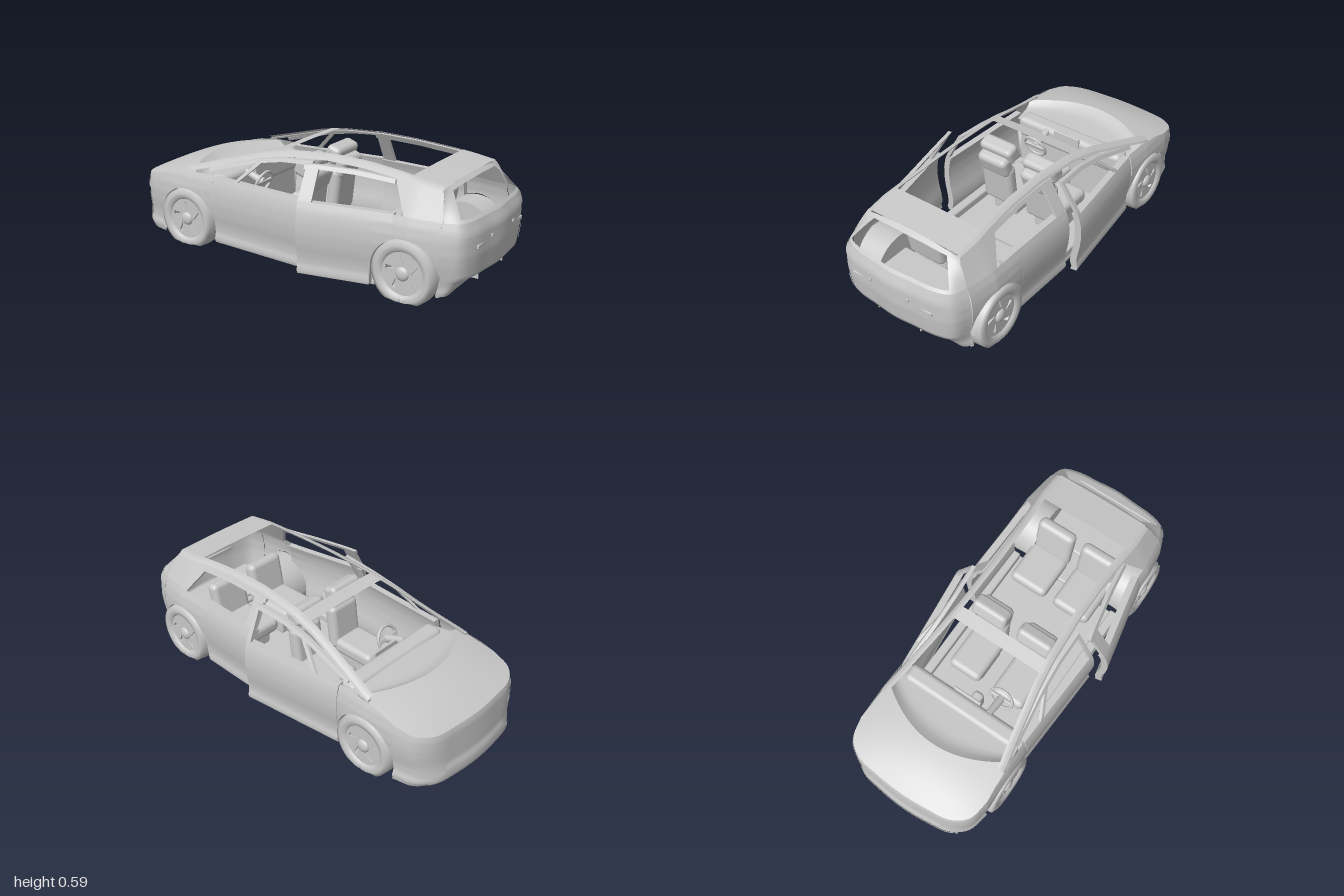
import * as THREE from 'three';
import { mergeGeometries } from 'three/addons/utils/BufferGeometryUtils.js';
import { RoundedBoxGeometry } from 'three/addons/geometries/RoundedBoxGeometry.js';

const lerp = THREE.MathUtils.lerp;
const paint = new THREE.MeshStandardMaterial({ color: 0xc8c8c8, side: THREE.DoubleSide });
paint.name = 'light grey';

// Piecewise curve y(x) through a few points
const curve = (pts) => (x) => {
  if (x <= pts[0][0]) return pts[0][1];
  for (let i = 1; i < pts.length; i++) {
    const [a, b] = [pts[i - 1], pts[i]];
    if (x <= b[0]) return lerp(a[1], b[1], (x - a[0]) / (b[0] - a[0]));
  }
  return pts[pts.length - 1][1];
};

// Surface from a rule fn(u, v) -> [x, y, z]
function grid(nu, nv, fn) {
  const pos = [], idx = [];
  for (let j = 0; j <= nv; j++) for (let i = 0; i <= nu; i++) pos.push(...fn(i / nu, j / nv));
  for (let j = 0; j < nv; j++) for (let i = 0; i < nu; i++) {
    const a = j * (nu + 1) + i, b = a + nu + 1;
    idx.push(a, a + 1, b, b, a + 1, b + 1);
  }
  const g = new THREE.BufferGeometry();
  g.setAttribute('position', new THREE.Float32BufferAttribute(pos, 3));
  g.setIndex(idx);
  g.computeVertexNormals();
  return g;
}

// Panel with thickness towards the car centre
function slab(nu, nv, fn, th) {
  const inner = (u, v) => { const p = fn(u, v); return [p[0], p[1], p[2] - Math.sign(p[2]) * th]; };
  const edge = (n, f) => grid(n, 1, (u, v) => (v ? inner : fn)(...f(u)));
  return mergeGeometries([grid(nu, nv, fn), grid(nu, nv, inner),
    edge(nu, (u) => [u, 0]), edge(nu, (u) => [u, 1]), edge(nv, (u) => [0, u]), edge(nv, (u) => [1, u])]);
}

function add(parent, name, geo, x = 0, y = 0, z = 0) {
  const m = new THREE.Mesh(geo, paint);
  m.name = name;
  m.position.set(x, y, z);
  parent.add(m);
  return m;
}
const box = (p, name, w, h, d, x, y, z, r = 0.01) => add(p, name, new RoundedBoxGeometry(w, h, d, 3, r), x, y, z);

// Main shape rules of the body
const FRONT = -0.615, REAR = 0.685, ARCH = 0.173;
const halfWidth = curve([[-0.8, 0.39], [-0.6, 0.395], [-0.44, 0.39], [0.14, 0.39], [0.5, 0.388], [0.7, 0.392], [0.88, 0.365]]);
const section = curve([[0.04, 0.95], [0.06, 0.972], [0.09, 0.945], [0.14, 0.955], [0.2, 0.985], [0.26, 1], [0.32, 0.995], [0.37, 0.97], [0.41, 0.93], [0.58, 0.68]]);
const sideZ = (x, y) => halfWidth(x) * section(y);
const hoodEdge = curve([[-1, 0.295], [-0.8, 0.357], [-0.7, 0.385], [-0.55, 0.402]]);
const rail = curve([[-0.62, 0.405], [-0.4, 0.47], [-0.2, 0.53], [-0.05, 0.56], [0.2, 0.58], [0.4, 0.577], [0.6, 0.562], [0.82, 0.535]]);
const arch = (x) => {
  const d = Math.min(Math.abs(x - FRONT), Math.abs(x - REAR));
  return d < ARCH ? 0.135 + Math.sqrt(ARCH * ARCH - d * d) : 0.045;
};
const plan = (pts) => new THREE.CatmullRomCurve3(
  [...pts.map(([x, z]) => new THREE.Vector3(x, 0, -z)), ...pts.slice(0, -1).reverse().map(([x, z]) => new THREE.Vector3(x, 0, z))]);
const nosePlan = plan([[-0.788, 0.39], [-0.9, 0.36], [-0.965, 0.28], [-0.99, 0.15], [-1, 0]]);
const tailPlan = plan([[0.86, 0.368], [0.94, 0.33], [0.975, 0.25], [0.99, 0.12], [1, 0]]);
const noseOff = curve([[0.03, 0.025], [0.05, 0], [0.1, 0], [0.13, 0.012], [0.3, 0.018], [0.34, 0.03]]);
const tailOff = curve([[0.05, -0.13], [0.125, -0.045], [0.14, -0.015], [0.25, 0], [0.36, 0], [0.41, -0.02]]);
const fade = (t) => Math.cos(Math.PI * (t - 0.5) * 0.9);
const nosePt = (t, y, out = 0) => {
  const p = nosePlan.getPoint(t);
  return [p.x + noseOff(y) * fade(t) - out, y, p.z * section(y) * (1 + out)];
};
const tailPt = (t, y, out = 0) => {
  const p = tailPlan.getPoint(t);
  return [p.x + tailOff(y) * fade(t) + out, y, p.z * section(y) * (1 + out)];
};
const crown = (t) => 0.03 * (1 - (2 * t - 1) ** 2);
const noseTop = (t) => hoodEdge(nosePlan.getPoint(t).x) + crown(t);
const hoodRear = (t) => { const k = 2 * t - 1; return [-0.56 - 0.14 * (1 - k * k), 0, k * 0.365]; };
const hoodPt = (t, v) => {
  const a = nosePt(t, noseTop(t)), b = hoodRear(t), x = lerp(a[0], b[0], v);
  return [x, lerp(noseTop(t), hoodEdge(b[0]) + crown(t), v) + 0.012 * Math.sin(v * Math.PI) * fade(t), lerp(a[2], b[2], v)];
};
const hatchPt = (t, v) => {
  const a = tailPt(t, 0.41), k = 2 * t - 1;
  return [lerp(a[0], 0.825, v), lerp(0.41, 0.535 + 0.02 * (1 - k * k), v) + 0.03 * v * (1 - v), lerp(a[2], k * 0.275, v)];
};

// Wheel, axle along z, outside at +z: tyre pressed flat on the ground, slotted rim, domed hub
function wheel() {
  const g = new THREE.Group();
  g.name = 'wheel';
  const prof = [[0.105, 0.045], [0.115, 0.06], [0.14, 0.065], [0.162, 0.055], [0.167, 0], [0.162, -0.055], [0.14, -0.065], [0.105, -0.058], [0.1, 0.02]];
  const tyre = new THREE.LatheGeometry(prof.map((p) => new THREE.Vector2(...p)), 64).rotateX(Math.PI / 2);
  const p = tyre.attributes.position;
  for (let i = 0; i < p.count; i++) p.setY(i, Math.max(p.getY(i), -0.137));
  tyre.computeVertexNormals();
  add(g, 'tyre', tyre);
  const rim = new THREE.Shape().absarc(0, 0, 0.107, 0, Math.PI * 2);
  for (let i = 0; i < 5; i++) {
    const at = (r, a) => new THREE.Vector2(r * Math.cos(a + i * 1.2566), r * Math.sin(a + i * 1.2566));
    rim.holes.push(new THREE.Path([at(0.042, 0), at(0.092, 0.3), at(0.092, 0.55), at(0.05, 0.22)]));
  }
  add(g, 'rim', new THREE.ExtrudeGeometry(rim, { depth: 0.012, bevelEnabled: false, curveSegments: 40 }), 0, 0, 0.036);
  add(g, 'hub', new THREE.SphereGeometry(0.035, 24, 12).scale(1, 1, 0.5), 0, 0, 0.048);
  add(g, 'brakeDisc', new THREE.CylinderGeometry(0.08, 0.08, 0.02, 32).rotateX(Math.PI / 2));
  return g;
}

function seat(name, x, z, width, lean) {
  const g = new THREE.Group();
  g.name = name;
  g.position.set(x, 0, z);
  box(g, 'cushion', 0.25, 0.08, width, -0.12, 0.19, 0, 0.03);
  box(g, 'seatBase', 0.18, 0.1, width * 0.8, -0.1, 0.11, 0);
  box(g, 'backrest', 0.07, 0.25, width, 0.03, 0.285, 0, 0.03).rotation.z = -lean;
  return g;
}

// One side of the body; s = 1 is +z
function side(car, s) {
  const on = (x, y) => [x, y, s * sideZ(x, y)];
  const strip = (x0, x1, lo, hi) => (u, v) => { const x = lerp(x0, x1, u); return on(x, lerp(lo(x), hi(x), v)); };
  const quad = (a, b, c, d) => (u, v) => on(lerp(lerp(a[0], b[0], u), lerp(d[0], c[0], u), v), lerp(lerp(a[1], b[1], u), lerp(d[1], c[1], u), v));
  add(car, 'frontFender', grid(48, 12, strip(-0.787, -0.443, arch, hoodEdge)));
  add(car, 'rearQuarter', grid(40, 12, strip(0.62, 0.857, arch, () => 0.41)));
  const win = curve([[0.41, 0.67], [0.52, 0.6], [0.58, 0.565]]), hatch = curve([[0.41, 0.86], [0.51, 0.835], [0.54, 0.82]]);
  add(car, 'rearPillar', slab(10, 12, (u, v) => {
    const y = lerp(0.41, lerp(0.564, 0.535, u), v);
    return on(lerp(win(y), hatch(y), u), y);
  }, 0.02));
  add(car, 'roofRail', slab(50, 2, strip(-0.62, 0.82, (x) => rail(x) - 0.011, rail), 0.02));
  add(car, 'roofRailTop', grid(50, 3, (u, v) => {
    const x = lerp(-0.62, 0.82, u), y = rail(x);
    return [x, y + 0.016 * Math.sin(v * 1.57), s * (sideZ(x, y) - 0.035 * v)];
  }));
  box(car, 'sill', 0.95, 0.06, 0.05, 0.035, 0.065, s * 0.322);
  add(car, 'fenderMarker', grid(4, 1, (u, v) => [-0.49 + 0.045 * u, 0.305 + 0.01 * v, s * (sideZ(-0.46, 0.31) + 0.004)]));

  // Doors hang on hinge groups and stand ajar by different amounts
  const door = (name, hinge, angle, parts) => {
    const g = new THREE.Group(), zh = s * 0.37;
    g.name = name;
    g.position.set(hinge, 0, zh);
    g.rotation.y = angle;
    car.add(g);
    for (const [n, geo] of parts) add(g, n, geo.translate(-hinge, 0, -zh));
  };
  const frame = (x0, x1) => slab(24, 2, strip(x0, x1, (x) => rail(x) - 0.03, (x) => rail(x) - 0.011), 0.02);
  door('frontDoor', -0.44, s < 0 ? 0.115 : -0.05, [
    ['doorSkin', slab(24, 18, strip(-0.438, 0.13, () => 0.042, () => 0.395), 0.035)],
    ['windowFrame', frame(-0.48, 0.13)],
    ['windowPost', slab(2, 8, quad([-0.31, 0.39], [-0.285, 0.39], [-0.16, 0.515], [-0.19, 0.51]), 0.015)],
    ['rearPost', slab(2, 8, quad([0.105, 0.39], [0.13, 0.39], [0.13, 0.56], [0.115, 0.56]), 0.02)],
  ]);
  door('rearDoor', 0.62, s > 0 ? 0.2 : -0.015, [
    ['doorSkin', slab(60, 18, strip(0.14, 0.62, arch, () => 0.41), 0.035)],
    ['windowFrame', frame(0.14, 0.6)],
    ['frontPost', slab(2, 8, quad([0.14, 0.4], [0.21, 0.4], [0.215, 0.56], [0.15, 0.56]), 0.02)],
  ]);

  // Wheels with liners
  for (const x of [FRONT, REAR]) {
    const w = wheel();
    w.position.set(x, 0.14, s * 0.34);
    if (s < 0) w.rotation.y = Math.PI;
    car.add(w);
    add(car, 'wheelLiner', grid(24, 1, (u, v) => [x + ARCH * Math.cos(u * Math.PI), 0.135 + ARCH * Math.sin(u * Math.PI), s * lerp(0.23, 0.378, v)]));
    add(car, 'linerWall', new THREE.CircleGeometry(ARCH, 24, 0, Math.PI), x, 0.135, s * 0.23);
  }

  // Lamp and vent plates at the four corners
  const corner = (pt, t0, t1, y0, y1) => grid(12, 3, (u, v) => pt(s > 0 ? 1 - lerp(t0, t1, u) : lerp(t0, t1, u), lerp(y0, y1, v), 0.005));
  add(car, 'headlamp', corner(nosePt, 0.08, 0.3, 0.255, 0.285));
  add(car, 'noseVent', corner(nosePt, 0.14, 0.3, 0.09, 0.215));
  add(car, 'tailLamp', corner(tailPt, 0.06, 0.25, 0.35, 0.4));
  add(car, 'reflector', corner(tailPt, 0.15, 0.19, 0.16, 0.23));
}

export function createModel() {
  const model = new THREE.Group();
  model.name = 'hatchback';
  const car = new THREE.Group();
  car.name = 'car';
  car.position.z = -0.02;
  model.add(car);
  side(car, 1);
  side(car, -1);

  // Nose and hood
  add(car, 'frontBumper', grid(48, 20, (t, v) => nosePt(t, lerp(0.03, noseTop(t), v))));
  add(car, 'frontLip', grid(30, 2, (u, v) => nosePt(lerp(0.2, 0.8, u), lerp(0.045, 0.075, v), 0.005)));
  add(car, 'hood', grid(40, 20, hoodPt));
  add(car, 'cowl', grid(32, 8, (t, v) => {
    const a = hoodPt(t, 1), k = 2 * t - 1;
    return [lerp(a[0], -0.42 - 0.04 * (1 - k * k), v), a[1] - 0.03 * Math.sin(Math.min(1, v * 3) * 1.57) - 0.01 * v, lerp(a[2], k * 0.345, v)];
  }));
  box(car, 'dashboard', 0.1, 0.12, 0.66, -0.45, 0.33, 0, 0.03);
  box(car, 'firewall', 0.02, 0.32, 0.66, -0.44, 0.2, 0);

  // Roof: open frame with front header and rear panel
  const roof = (name, x0, x1) => add(car, name, grid(8, 20, (u, v) => {
    const x = lerp(x0, x1, u), k = 2 * v - 1;
    return [x, rail(x) + 0.014 + 0.004 * (1 - k * k), k * (sideZ(x, rail(x)) - 0.02)];
  }));
  roof('roofHeader', -0.145, -0.075);
  roof('roofRear', 0.65, 0.825);

  // Hatch window frame, tail and rear bumper
  const hatch = (name, t0, t1, v0, v1) => add(car, name, grid(24, 8, (u, v) => hatchPt(lerp(t0, t1, u), lerp(v0, v1, v))));
  hatch('hatchLower', 0, 1, 0, 0.08);
  hatch('hatchUpper', 0, 1, 0.85, 1);
  hatch('hatchLeft', 0, 0.13, 0.08, 0.85);
  hatch('hatchRight', 0.87, 1, 0.08, 0.85);
  add(car, 'rearBumper', grid(48, 24, (t, v) => tailPt(t, lerp(0.05, 0.41, v))));
  add(car, 'tailgate', grid(24, 6, (u, v) => tailPt(lerp(0.25, 0.75, u), lerp(0.28, 0.4, v), 0.005)));
  box(car, 'plateRecess', 0.012, 0.02, 0.48, 0.985, 0.29, 0, 0.004);
  for (const z of [-0.11, 0.12]) {
    box(car, 'plateLamp', 0.008, 0.015, 0.012, 1, 0.315, z, 0.002);
    box(car, 'diffuserFin', 0.05, 0.03, 0.008, 0.925, 0.105, z * 1.15, 0.002);
  }

  // Underbody
  box(car, 'floor', 0.96, 0.03, 0.7, 0.035, 0.04, 0);
  box(car, 'frontUndertray', 0.36, 0.03, 0.46, -0.615, 0.045, 0);
  box(car, 'rearUndertray', 0.35, 0.03, 0.46, 0.685, 0.055, 0);
  add(car, 'noseUnderside', grid(30, 2, (t, v) => { const p = nosePt(t, 0.035); return [lerp(p[0], -0.788, v), 0.035 + 0.01 * v, p[2]]; }));
  add(car, 'tailUnderside', grid(30, 2, (t, v) => { const p = tailPt(t, 0.05); return [lerp(p[0], 0.855, v), 0.05, p[2]]; }));
  box(car, 'trunkFloor', 0.26, 0.02, 0.5, 0.77, 0.2, 0);
  for (const x of [FRONT, REAR]) add(car, 'axle', new THREE.CylinderGeometry(0.015, 0.015, 0.6, 12).rotateX(Math.PI / 2), x, 0.13, 0);

  // Cabin
  for (const z of [-0.135, 0.135]) {
    const front = seat('frontSeat', -0.02, z, 0.19, 0.12);
    box(front, 'shoulders', 0.075, 0.12, 0.18, 0.065, 0.42, 0, 0.03).rotation.z = -0.35;
    box(front, 'headrest', 0.085, 0.095, 0.2, 0.03, 0.485, 0, 0.025).rotation.z = -0.35;
    car.add(front);
    car.add(seat('rearSeat', 0.57, z, 0.22, 0.2));
  }
  box(car, 'console', 0.12, 0.12, 0.06, -0.36, 0.14, 0, 0.02);
  box(car, 'centreScreen', 0.015, 0.07, 0.16, -0.4, 0.37, 0, 0.005);
  const steering = new THREE.Group();
  steering.name = 'steeringWheel';
  steering.position.set(-0.3, 0.33, 0.135);
  steering.rotation.z = -0.35;
  add(steering, 'wheelRing', new THREE.TorusGeometry(0.065, 0.008, 10, 32).rotateY(Math.PI / 2));
  box(steering, 'wheelSpoke', 0.015, 0.025, 0.125, 0, 0, 0, 0.005);
  add(steering, 'column', new THREE.CylinderGeometry(0.018, 0.022, 0.12, 16).rotateZ(Math.PI / 2), -0.06, 0, 0);
  car.add(steering);
  return model;
}
